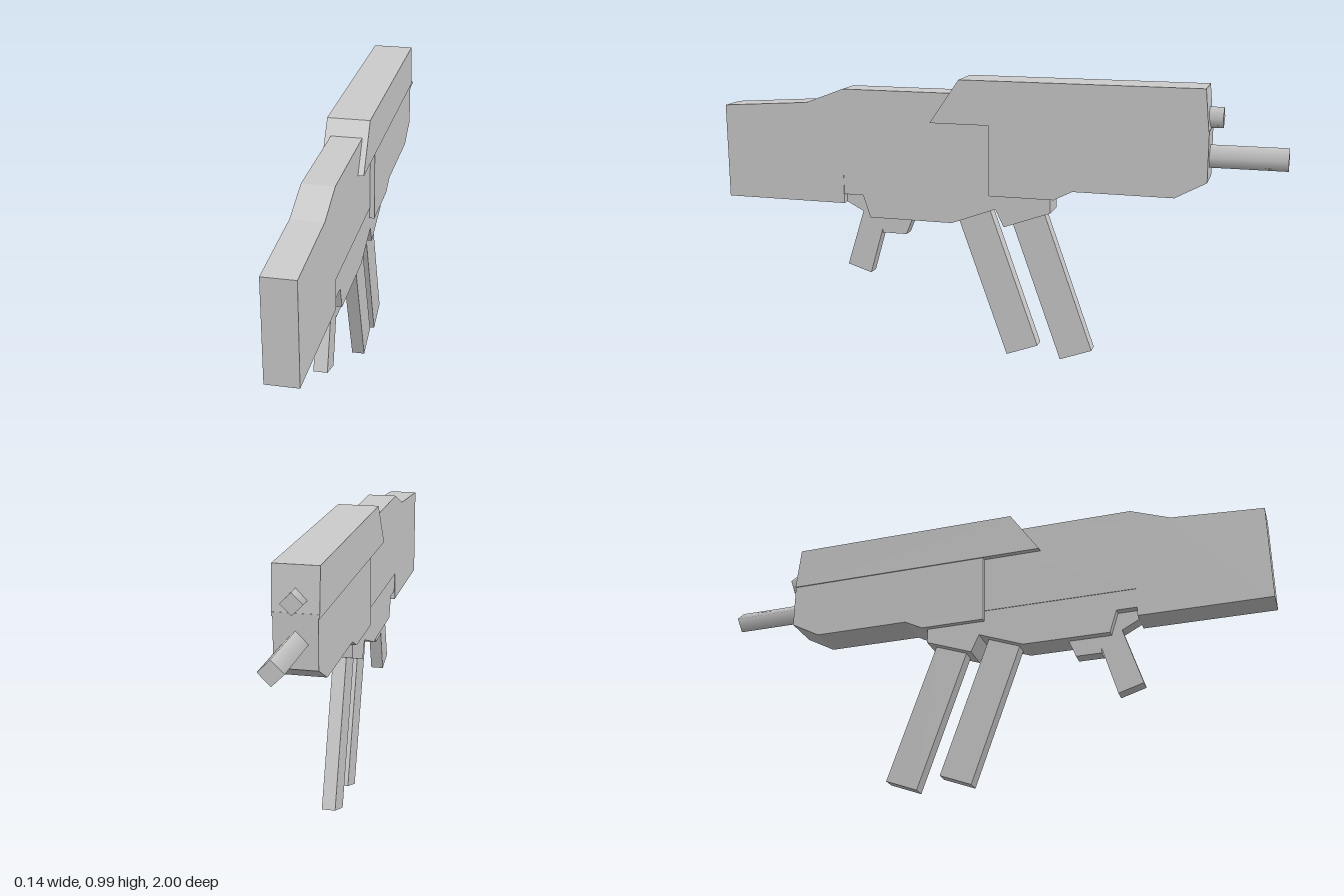
import * as THREE from 'three';

const grey = new THREE.MeshStandardMaterial({ color: 0xcccccc });

// Side profile given as [z, y] points, extruded across x and centred
function plate(name, halfWidth, points) {
  const shape = new THREE.Shape(points.map(([z, y]) => new THREE.Vector2(z, y)));
  const geometry = new THREE.ExtrudeGeometry(shape, { depth: halfWidth * 2, bevelEnabled: false });
  geometry.translate(0, 0, -halfWidth).rotateY(-Math.PI / 2);
  const mesh = new THREE.Mesh(geometry, grey);
  mesh.name = name;
  return mesh;
}

// Four-sided tube with softened sides, running along z
function tube(name, radius, y, zStart, zEnd) {
  const geometry = new THREE.CylinderGeometry(radius, radius, Math.abs(zEnd - zStart), 4);
  geometry.rotateX(-Math.PI / 2);
  const mesh = new THREE.Mesh(geometry, grey);
  mesh.position.set(0, y, (zStart + zEnd) / 2);
  mesh.name = name;
  return mesh;
}

export function createModel() {
  const model = new THREE.Group();
  model.name = 'model';

  // Stock and main body, cut away where the lower receiver sits
  model.add(plate('stock', 0.0525, [
    [1, 0.865], [1, 0.527], [0.545, 0.527], [0.545, 0.63], [-0.1, 0.63],
    [-0.1, 0.94], [0.54, 0.94], [0.68, 0.887],
  ]));

  // Lower receiver with the front mount
  model.add(plate('lowerReceiver', 0.05, [
    [0.545, 0.64], [0.545, 0.56], [0.473, 0.56], [0.447, 0.48], [0.14, 0.48],
    [-0.02, 0.54], [-0.05, 0.478], [-0.215, 0.538], [-0.215, 0.64],
  ]));

  // Fore-end and top cover
  model.add(plate('foreEnd', 0.068, [
    [0, 0.85], [0, 0.59], [-0.23, 0.59], [-0.295, 0.623], [-0.64, 0.623],
    [-0.745, 0.68], [-0.745, 0.85],
  ]));
  model.add(plate('topCover', 0.072, [
    [0.21, 0.837], [-0.745, 0.837], [-0.73, 0.99], [0.105, 0.99],
  ]));

  // Rear grip with its tang, and trigger
  model.add(plate('grip', 0.023, [
    [0.548, 0.292], [0.46, 0.265], [0.395, 0.49], [0.46, 0.565],
    [0.545, 0.56], [0.545, 0.527], [0.484, 0.495],
  ]));
  model.add(plate('trigger', 0.023, [
    [0.41, 0.49], [0.41, 0.42], [0.32, 0.42], [0.292, 0.49],
  ]));

  // Two matching slanted magazines
  [0, -0.196].forEach((dz, i) => {
    model.add(plate(i ? 'frontMagazine' : 'rearMagazine', 0.023, [
      [0.125, 0.5], [-0.055, 0], [-0.168, 0.043], [0.012, 0.543],
    ].map(([z, y]) => [z + dz, y])));
  });

  // Barrel and the short tube above it
  model.add(tube('barrel', 0.039, 0.758, -0.7, -1));
  model.add(tube('upperTube', 0.035, 0.888, -0.7, -0.785));

  return model;
}
